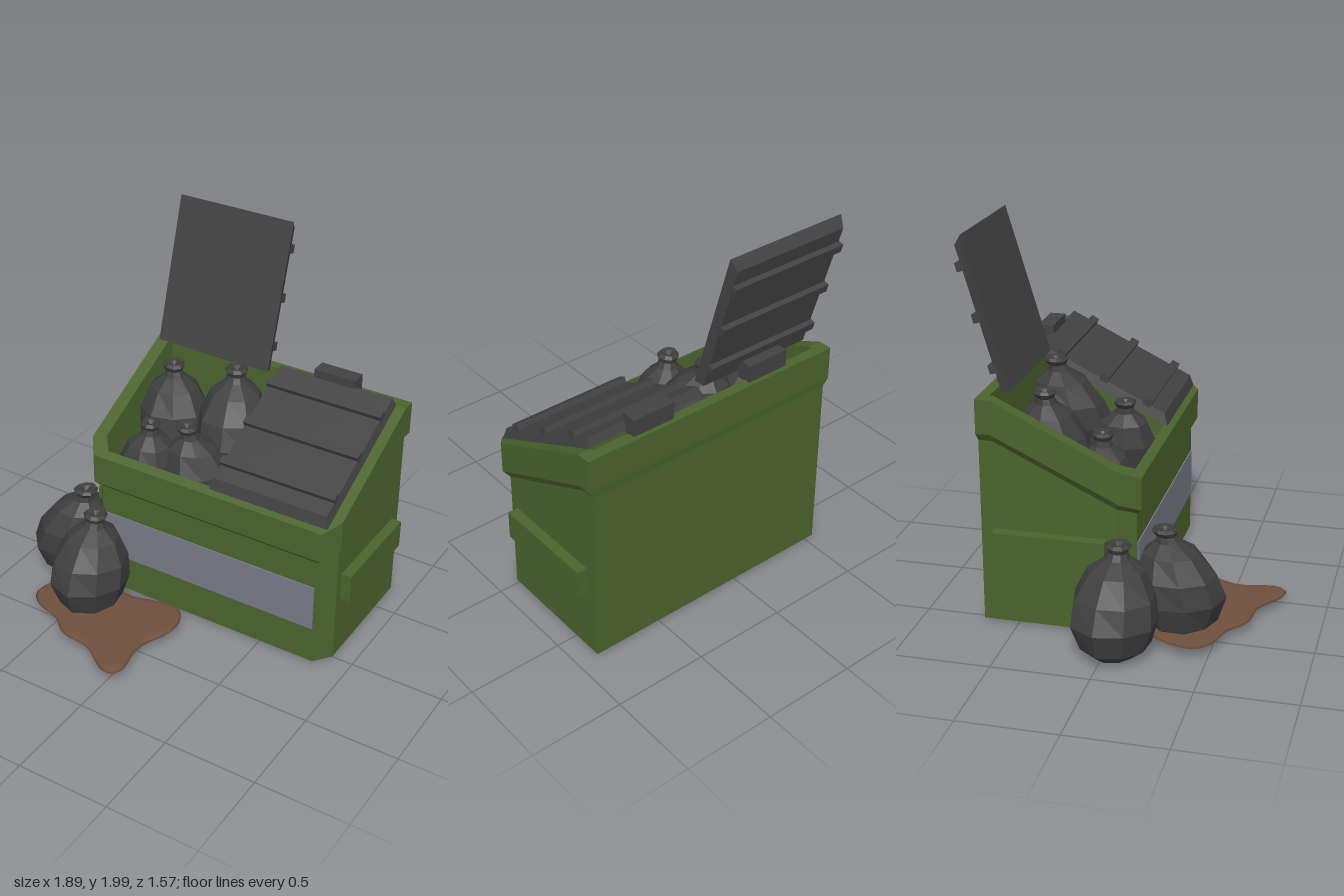
import * as THREE from 'three';

const mat = (name, color) => Object.assign(new THREE.MeshStandardMaterial({ color }), { name });

export function createModel() {
  const green = mat('green paint', 0x4a642d);
  const black = mat('lid plastic', 0x424242);
  const bagBlack = mat('bag plastic', 0x3e3e3e);
  const grey = mat('grey panel', 0x797c88);
  const brown = mat('brown sludge', 0x6f4f3d);

  const model = new THREE.Group();
  const add = (parent, geo, material, name, x = 0, y = 0, z = 0) => {
    const m = new THREE.Mesh(geo, material);
    m.name = name;
    m.position.set(x, y, z);
    parent.add(m);
    return m;
  };
  const box = (w, h, d) => new THREE.BoxGeometry(w, h, d);

  // Flat-faced loft through rings of equal point count, capped at both ends
  const loft = (rings) => {
    const v = [];
    const tri = (...pts) => pts.forEach((p) => v.push(...p));
    const n = rings[0].length;
    for (let r = 0; r + 1 < rings.length; r++) {
      for (let i = 0; i < n; i++) {
        const j = (i + 1) % n, a = rings[r], b = rings[r + 1];
        tri(a[i], a[j], b[j], a[i], b[j], b[i]);
      }
    }
    const first = rings[0], last = rings[rings.length - 1];
    for (let i = 1; i + 1 < n; i++) {
      tri(first[0], first[i + 1], first[i]);
      tri(last[0], last[i], last[i + 1]);
    }
    const g = new THREE.BufferGeometry();
    g.setAttribute('position', new THREE.Float32BufferAttribute(v, 3));
    g.computeVertexNormals();
    return g;
  };

  // Container plan: rectangle with chamfered front corners, height given by z
  const plan = (x0, x1, zf, zb, cx, cz, height) =>
    [[x0, zb], [x0, -0.61], [x0, zf - cz], [x0 + cx, zf],
      [x1 - cx, zf], [x1, zf - cz], [x1, -0.61], [x1, zb]].map(([x, z]) => [x, height(z), z]);
  const slope = (front, back) => (z) => Math.min(back, front + (0.13 - z) * (back - front) / 0.74);
  const rimTop = slope(0.848, 1.208);

  // Hollow container with a stepped rim
  const outer = [-0.572, 0.915, 0.13, -0.685, 0.066, 0.09];
  const inner = [-0.5, 0.848, 0.085, -0.63, 0.06, 0.075];
  const body = [-0.545, 0.89, 0.1, -0.68, 0.07, 0.09];
  add(model, loft([
    plan(...body, () => 0.02),
    plan(...body, slope(0.635, 0.99)),
    plan(...outer, slope(0.68, 1.03)),
    plan(...outer, rimTop),
    plan(...inner, rimTop),
    plan(...inner, () => 0.55),
  ]), green, 'container');

  // Front panel and side lifting pockets
  add(model, box(1.275, 0.26, 0.008), grey, 'frontPanel', 0.173, 0.36, 0.102);
  for (const [x, name] of [[0.915, 'leftPocket'], [-0.57, 'rightPocket']]) {
    add(model, box(0.06, 0.155, 0.575), green, name, x, 0.447, -0.323);
  }

  // Ribbed lids, hinged at their local origin
  const makeLid = (name, x, y, z, angle) => {
    const W = 0.675, L = 0.793, T = 0.049;
    const lid = new THREE.Group();
    lid.name = name;
    const g = box(W, T, L).translate(0, T / 2, L / 2).toNonIndexed();
    const p = g.attributes.position;
    for (let i = 0; i < p.count; i++) {
      if (p.getY(i) < T / 2) continue;
      p.setX(i, p.getX(i) - Math.sign(p.getX(i)) * 0.015);
      if (p.getZ(i) > L / 2) p.setZ(i, L - 0.043);
    }
    g.computeVertexNormals();
    add(lid, g, black, 'lidPanel');
    for (const u of [0.125, 0.385, 0.645]) {
      add(lid, box(W - 0.02, 0.04, 0.045), black, 'lidRib', 0, T + 0.008, u);
    }
    lid.position.set(x, y, z);
    lid.rotation.x = angle;
    model.add(lid);
  };
  makeLid('closedLid', 0.525, 1.215, -0.61, 0.458);
  makeLid('openLid', -0.174, 1.24, -0.52, -1.859);
  for (const x of [0.523, -0.175]) {
    add(model, box(0.235, 0.1, 0.085), black, 'hingeBlock', x, 1.25, -0.62);
  }

  // Tied bags: faceted lathe with uneven sides and a leaning neck
  const profile = [[0, 0], [0.1, 0], [0.175, 0.06], [0.215, 0.19], [0.2, 0.31], [0.14, 0.42],
    [0.062, 0.475], [0.05, 0.505], [0.066, 0.53], [0.052, 0.545], [0.028, 0.54], [0, 0.515]]
    .map(([r, y]) => new THREE.Vector2(r, y));
  const makeBag = (x, y, z, s, leanX, leanZ, turn) => {
    const g = new THREE.LatheGeometry(profile, 9, turn).toNonIndexed();
    const p = g.attributes.position;
    for (let i = 0; i < p.count; i++) {
      const px = p.getX(i), py = p.getY(i), pz = p.getZ(i);
      const k = 1 + 0.045 * Math.sin(3 * Math.atan2(px, pz) + py * 9 + turn);
      const lean = Math.max(0, py - 0.2) / 0.32;
      p.setXYZ(i, px * k * s + lean * leanX, py, pz * k * s + lean * leanZ);
    }
    g.computeVertexNormals();
    add(model, g, bagBlack, 'trashBag', x, y, z);
  };
  makeBag(-0.73, 0.008, 0.045, 1.02, 0.1, 0, 0.3);
  makeBag(-0.43, 0.025, 0.32, 1, 0, -0.085, 0.1);
  makeBag(-0.305, 0.66, -0.36, 0.92, -0.035, -0.04, 0.5);
  makeBag(0.055, 0.715, -0.365, 0.95, -0.035, -0.08, 0.2);
  makeBag(-0.31, 0.45, -0.105, 0.85, 0.005, -0.01, 0.8);
  makeBag(0.03, 0.535, -0.1, 0.87, -0.075, 0.035, 0);

  // Spilled puddle: smooth closed outline, rings shrinking towards a low dome
  const outline = new THREE.CatmullRomCurve3([
    [-0.07, 0.15], [0.03, 0.15], [0.095, 0.23], [0.1, 0.35], [0.03, 0.53], [0.06, 0.72],
    [0.03, 0.775], [-0.04, 0.775], [-0.2, 0.67], [-0.37, 0.645], [-0.48, 0.56], [-0.63, 0.51],
    [-0.7, 0.43], [-0.66, 0.27], [-0.57, 0.17], [-0.4, 0.17], [-0.23, 0.19],
  ].map(([x, z]) => new THREE.Vector3(x, 0, z)), true).getPoints(48).slice(0, 48).reverse();
  const centre = new THREE.Vector3(-0.16, 0, 0.42);
  const verts = [], index = [], n = outline.length;
  const levels = [[0.001, 0.055], [0.97, 0.055], [1, 0.063], [0.97, 0.073], [0.85, 0.08], [0.001, 0.084]];
  levels.forEach(([s, y], r) => outline.forEach((q, i) => {
    const v = centre.clone().lerp(q, s);
    verts.push(v.x, y, v.z);
    if (r + 1 < levels.length) {
      const a = r * n + i, b = r * n + (i + 1) % n;
      index.push(a, b, b + n, a, b + n, a + n);
    }
  }));
  const puddle = new THREE.BufferGeometry();
  puddle.setAttribute('position', new THREE.Float32BufferAttribute(verts, 3));
  puddle.setIndex(index);
  puddle.computeVertexNormals();
  add(model, puddle, brown, 'puddle');

  return model;
}
